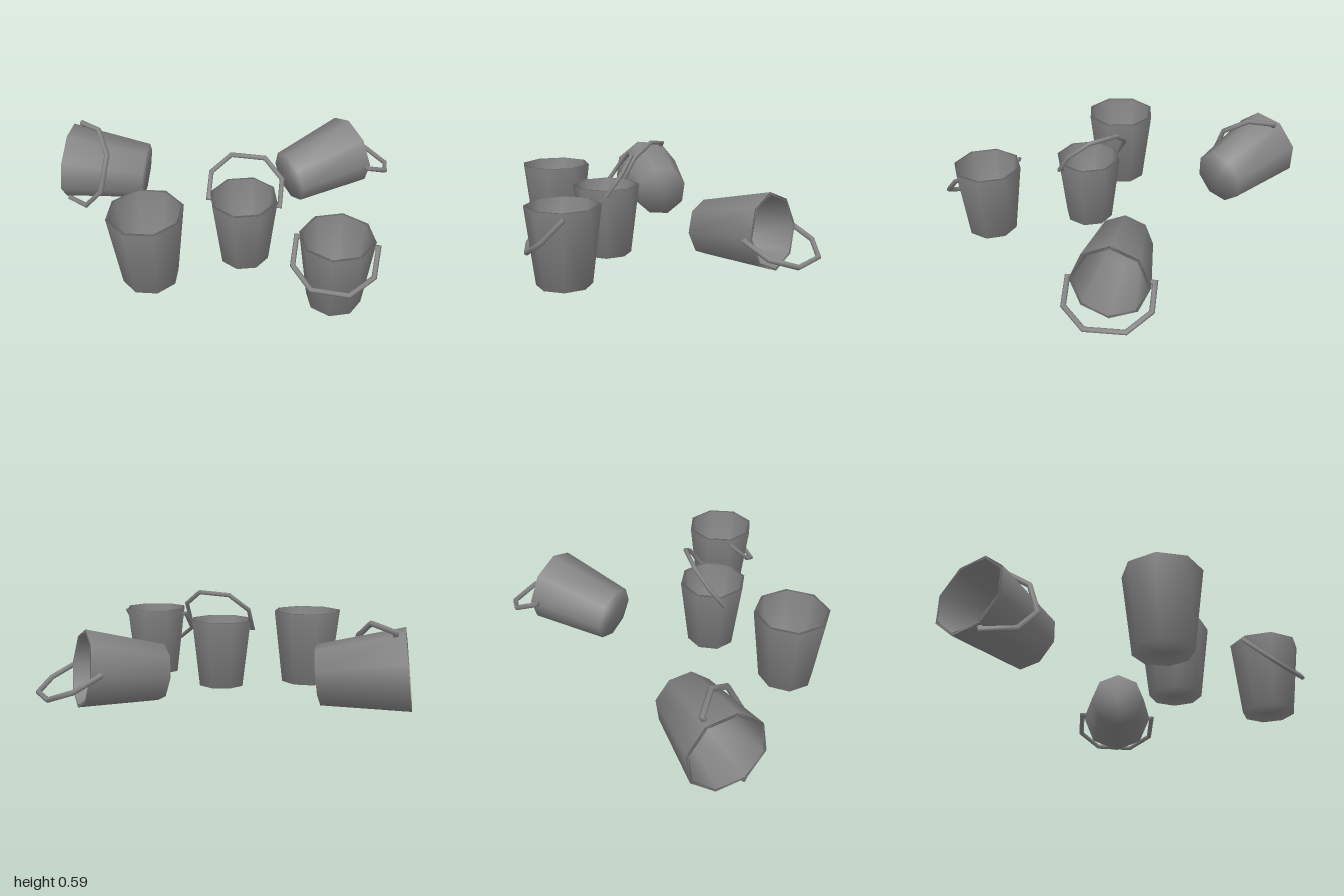
import * as THREE from 'three';

const material = new THREE.MeshStandardMaterial({ color: 0x848484 });

// Eight-sided tapered pail of unit height, smooth all over: base, outer wall, rim, inner wall, floor
function pailGeometry() {
  const profile = [[0, 0], [0.35, 0], [0.472, 1], [0.435, 1], [0.315, 0.05], [0, 0.05]]
    .map(([r, y]) => new THREE.Vector2(r, y));
  return new THREE.LatheGeometry(profile, 8);
}

// Bent wire handle in the XY plane: a six-sided section swept with mitred corners
function handleGeometry(radius = 0.032, sides = 6) {
  const half = [[0.45, 0], [0.5, 0], [0.495, 0.36], [0.235, 0.617]];
  const path = [...half, ...half.map(([x, y]) => [-x, y]).reverse()]
    .map(([x, y]) => new THREE.Vector2(x, y));
  const positions = [], index = [];
  path.forEach((p, i) => {
    const before = p.clone().sub(path[Math.max(i - 1, 0)]).normalize();
    const after = path[Math.min(i + 1, path.length - 1)].clone().sub(p).normalize();
    const t = before.clone().add(after).normalize();
    const cosHalf = t.dot(i === 0 ? after : before);
    const nx = -t.y / cosHalf, ny = t.x / cosHalf;
    for (let s = 0; s < sides; s++) {
      const a = (s / sides) * Math.PI * 2;
      const u = Math.cos(a) * radius;
      positions.push(p.x + nx * u, p.y + ny * u, Math.sin(a) * radius);
    }
  });
  for (let i = 0; i < path.length - 1; i++) {
    for (let s = 0; s < sides; s++) {
      const a = i * sides + s, b = i * sides + (s + 1) % sides;
      index.push(a, b, a + sides, b, b + sides, a + sides);
    }
  }
  // End caps
  const last = (path.length - 1) * sides;
  for (let s = 1; s < sides - 1; s++) {
    index.push(0, s + 1, s, last, last + s, last + s + 1);
  }
  const geometry = new THREE.BufferGeometry();
  geometry.setAttribute('position', new THREE.Float32BufferAttribute(positions, 3));
  geometry.setIndex(index);
  geometry.computeVertexNormals();
  return geometry;
}

// base: centre of the bottom; axis: towards the opening; hinge: line through the
// handle ends; tilt: swing of the handle away from the axis; roll: its lean to one side.
const buckets = [
  { name: 'plainBucket', height: 0.445, base: [-0.735, 0, 0.122], axis: [0, 1, 0], hinge: [0.19, 0, -1] },
  { name: 'middleBucket', height: 0.405, base: [-0.195, 0, 0.21], axis: [0, 1, 0], hinge: [1, 0, 1], tilt: -0.61, roll: 0.06 },
  { name: 'frontBucket', height: 0.422, base: [0.055, 0, 0.757], axis: [0, 1, 0], hinge: [0.31, 0, 0.275], tilt: 2.36, roll: 0 },
  { name: 'fallenLeftBucket', height: 0.455, base: [0.29, 0.174, -0.11], axis: [0.45, 0.055, -0.011], hinge: [0.03, 0, 1], tilt: -0.58, roll: 0.05 },
  { name: 'fallenBackBucket', height: 0.475, base: [-0.46, 0.197, -0.557], axis: [-0.4, 0.055, -0.268], hinge: [0.1, 0.2, -0.065], tilt: 2.39, roll: 0.08 },
];

export function createModel() {
  const model = new THREE.Group();
  model.name = 'buckets';
  const pailShape = pailGeometry();
  const handleShape = handleGeometry();

  for (const { name, height, base, axis, hinge, tilt, roll } of buckets) {
    const bucket = new THREE.Group();
    bucket.name = name;
    const y = new THREE.Vector3(...axis).normalize();
    const z = new THREE.Vector3(...hinge).cross(y).normalize();
    const x = new THREE.Vector3().crossVectors(y, z);
    bucket.quaternion.setFromRotationMatrix(new THREE.Matrix4().makeBasis(x, y, z));
    bucket.position.set(...base);
    bucket.scale.setScalar(height);

    const pail = new THREE.Mesh(pailShape, material);
    pail.name = 'pail';
    bucket.add(pail);

    if (tilt !== undefined) {
      const handle = new THREE.Mesh(handleShape, material);
      handle.name = 'handle';
      handle.position.y = 0.92;
      handle.rotation.set(tilt, 0, roll);
      bucket.add(handle);
    }
    model.add(bucket);
  }
  return model;
}
